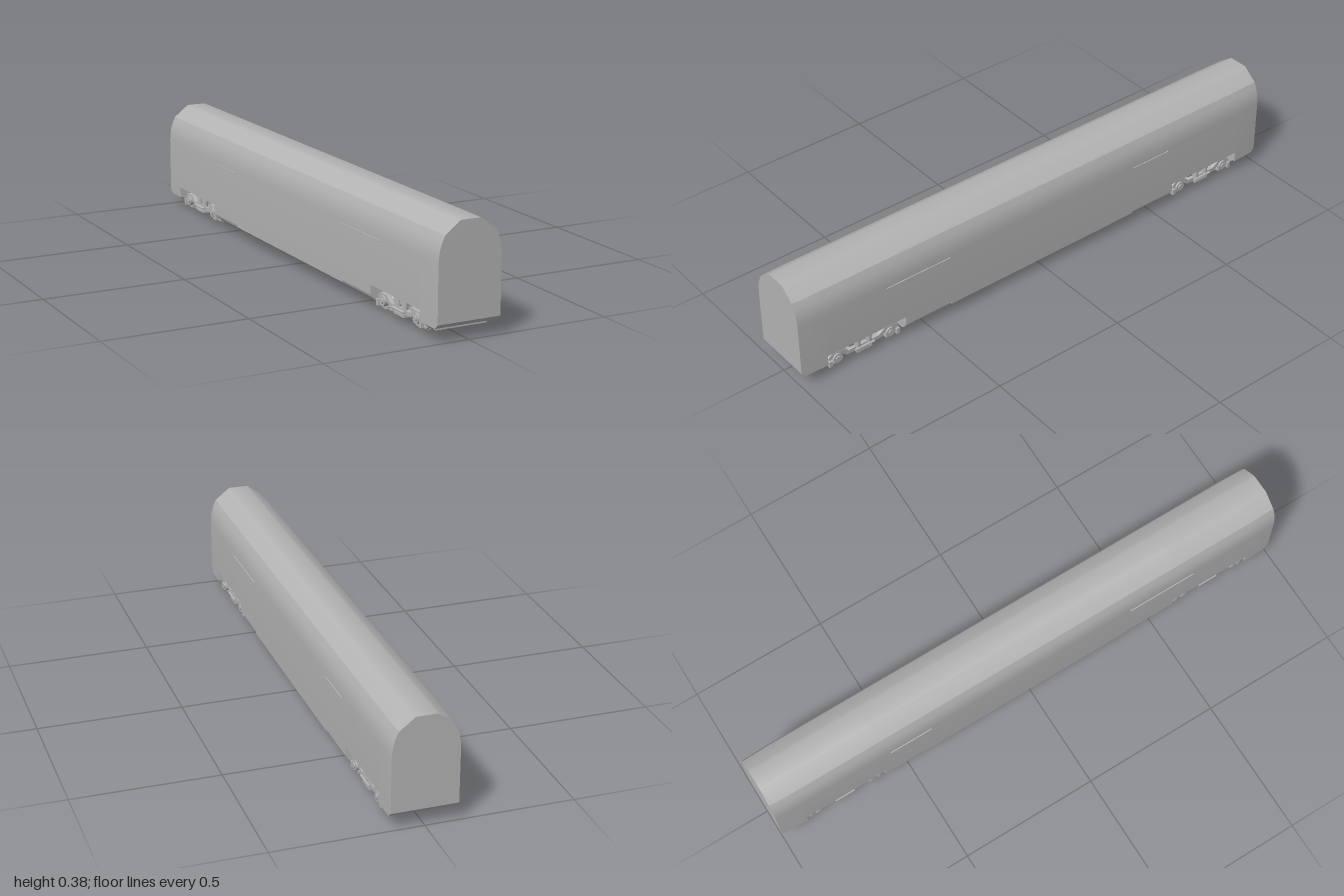
import * as THREE from 'three';
import { toCreasedNormals } from 'three/addons/utils/BufferGeometryUtils.js';

const grey = new THREE.MeshStandardMaterial({ color: 0xb3b3b3 });
grey.name = 'plain grey';

function add(parent, name, geometry, x = 0, y = 0, z = 0) {
  const mesh = new THREE.Mesh(geometry, grey);
  mesh.name = name;
  mesh.position.set(x, y, z);
  parent.add(mesh);
  return mesh;
}
const box = (p, name, w, h, d, x, y, z) => add(p, name, new THREE.BoxGeometry(w, h, d), x, y, z);
// cylinder lying along x
const rod = (p, name, r, len, x, y, z, sides = 20) =>
  add(p, name, new THREE.CylinderGeometry(r, r, len, sides).rotateZ(Math.PI / 2), x, y, z);

// Shell lofted along z; each station is [z, lower edge, width scale]
function bodyGeometry() {
  const side = [[0.115, 0.25], [0.1135, 0.272], [0.11, 0.294], [0.103, 0.316], [0.092, 0.338], [0.04, 0.377], [0.034, 0.379]];
  const half = [[1, 0.06, 0.97], [0.985, 0.045, 0.978], [0.9, 0.045, 1], [0.9, 0.083, 1], [0.59, 0.083, 1], [0.59, 0.05, 1]];
  const stations = [...half, ...half.map(([z, b, s]) => [-z, b, s]).reverse()];
  const loops = stations.map(([z, bottom, s]) => {
    const right = [[0.115, bottom], ...side];
    const left = right.map(([x, y]) => [-x, y]).reverse();
    return [...right, ...left].map(([x, y]) => [x * s, y, z]);
  });
  const n = loops[0].length, position = [], index = [];
  loops.forEach(loop => loop.forEach(p => position.push(...p)));
  for (let i = 0; i < loops.length - 1; i++) {
    for (let j = 0; j < n; j++) {
      const a = i * n + j, b = i * n + (j + 1) % n;
      index.push(a, a + n, b, b, a + n, b + n);
    }
  }
  const last = (loops.length - 1) * n;
  for (let j = 1; j < n - 1; j++) index.push(0, j, j + 1, last, last + j + 1, last + j);
  const g = new THREE.BufferGeometry();
  g.setAttribute('position', new THREE.Float32BufferAttribute(position, 3));
  g.setIndex(index);
  return toCreasedNormals(g, 0.45);
}

// Prism with a cross-section in x and y, centred on z
function prism(points, depth) {
  const shape = new THREE.Shape(points.map(([x, y]) => new THREE.Vector2(x, y)));
  return new THREE.ExtrudeGeometry(shape, { depth, bevelEnabled: false }).translate(0, 0, -depth / 2);
}

function wheelset(parent, z) {
  const set = new THREE.Group();
  set.name = 'wheelset';
  set.position.set(0, 0.041, z);
  parent.add(set);
  rod(set, 'axle', 0.008, 0.19, 0, 0, 0);
  // tread, flange and dished web
  const profile = [[0.008, 0.006], [0.014, 0.006], [0.016, 0.001], [0.03, 0.001], [0.031, 0.006], [0.037, 0.006],
    [0.038, -0.003], [0.041, -0.004], [0.041, -0.006], [0.031, -0.006], [0.03, -0.002], [0.016, -0.002], [0.014, -0.006], [0.008, -0.006]];
  const wheelGeometry = toCreasedNormals(
    new THREE.LatheGeometry(profile.map(([r, y]) => new THREE.Vector2(r, y)).reverse(), 32), 0.5);
  for (const s of [1, -1]) {
    const wheel = add(set, 'wheel', wheelGeometry, s * 0.065);
    wheel.rotation.z = -s * Math.PI / 2;
    rod(set, 'axleBox', 0.018, 0.018, s * 0.094, 0, 0);
    rod(set, 'axleCap', 0.01, 0.006, s * 0.104, 0, 0);
    rod(set, 'brakeDisc', 0.024, 0.008, s * 0.03, 0, 0);
  }
}

function bogie(parent, z) {
  const g = new THREE.Group();
  g.name = 'bogie';
  g.position.z = z;
  parent.add(g);
  for (const dz of [0.105, -0.105]) wheelset(g, dz);
  box(g, 'bolster', 0.18, 0.016, 0.06, 0, 0.062, 0);
  box(g, 'pivot', 0.06, 0.022, 0.05, 0, 0.075, 0);
  box(g, 'middlePlate', 0.1, 0.012, 0.1, 0, 0.032, 0);
  for (const dz of [0.055, -0.055]) box(g, 'crossBeam', 0.17, 0.012, 0.012, 0, 0.04, dz);
  // dropped-centre side frame, drawn along z then turned to stand across x
  const half = [[0.14, 0.05], [0.125, 0.064], [0.085, 0.064], [0.06, 0.046], [0.0, 0.046]];
  const lower = [[0, 0.032], [0.066, 0.032], [0.09, 0.05], [0.12, 0.05], [0.132, 0.04]];
  const mirror = pts => pts.map(([u, v]) => [-u, v]).reverse();
  const outline = [...half, ...mirror(half).slice(1), ...mirror(lower), ...lower.slice(1)];
  const frame = prism(outline, 0.014).rotateY(Math.PI / 2);
  for (const s of [1, -1]) {
    add(g, 'sideFrame', frame, s * 0.09);
    for (const dz of [0.022, -0.022]) {
      add(g, 'airSpring', new THREE.CylinderGeometry(0.011, 0.011, 0.034, 16), s * 0.092, 0.06, dz);
    }
    box(g, 'springSeat', 0.026, 0.006, 0.08, s * 0.093, 0.079, 0);
    box(g, 'springPlank', 0.022, 0.009, 0.06, s * 0.091, 0.026, 0);
    const damper = add(g, 'damper', new THREE.CylinderGeometry(0.005, 0.005, 0.075, 10), s * 0.103, 0.04, 0);
    damper.rotation.x = Math.PI / 2;
    for (const dz of [0.105, -0.105]) {
      box(g, 'guardBlock', 0.014, 0.01, 0.025, s * 0.085, 0.019, dz);
      box(g, 'brakeBlock', 0.012, 0.014, 0.016, s * 0.045, 0.024, dz * 0.7);
      box(g, 'frameFoot', 0.012, 0.022, 0.012, s * 0.098, 0.03, dz * 1.28);
    }
  }
}

export function createModel() {
  const car = new THREE.Group();
  car.name = 'railCar';
  add(car, 'bodyShell', bodyGeometry());

  // sloped underfloor fairing between the bogies
  const belly = [[-0.113, 0.052], [-0.109, 0.04], [-0.09, 0.024], [0.09, 0.024], [0.109, 0.04], [0.113, 0.052]];
  add(car, 'underfloorFairing', prism(belly, 1.18));

  const endBelly = [[-0.108, 0.047], [-0.09, 0.028], [0.09, 0.028], [0.108, 0.047]];
  for (const s of [1, -1]) {
    add(car, 'endUnderframe', prism(endBelly, 0.05), 0, 0, s * 0.928);
    bogie(car, s * 0.748);
    // lower skirt lip and thin side rails
    box(car, 'skirtLip', 0.005, 0.008, 0.8, s * 0.1125, 0.047, 0);
    box(car, 'frontSideRail', 0.004, 0.003, 0.26, s * 0.1165, 0.241, 0.53);
    box(car, 'rearSideRail', 0.004, 0.003, 0.16, s * 0.1165, 0.241, -0.48);
  }
  return car;
}
